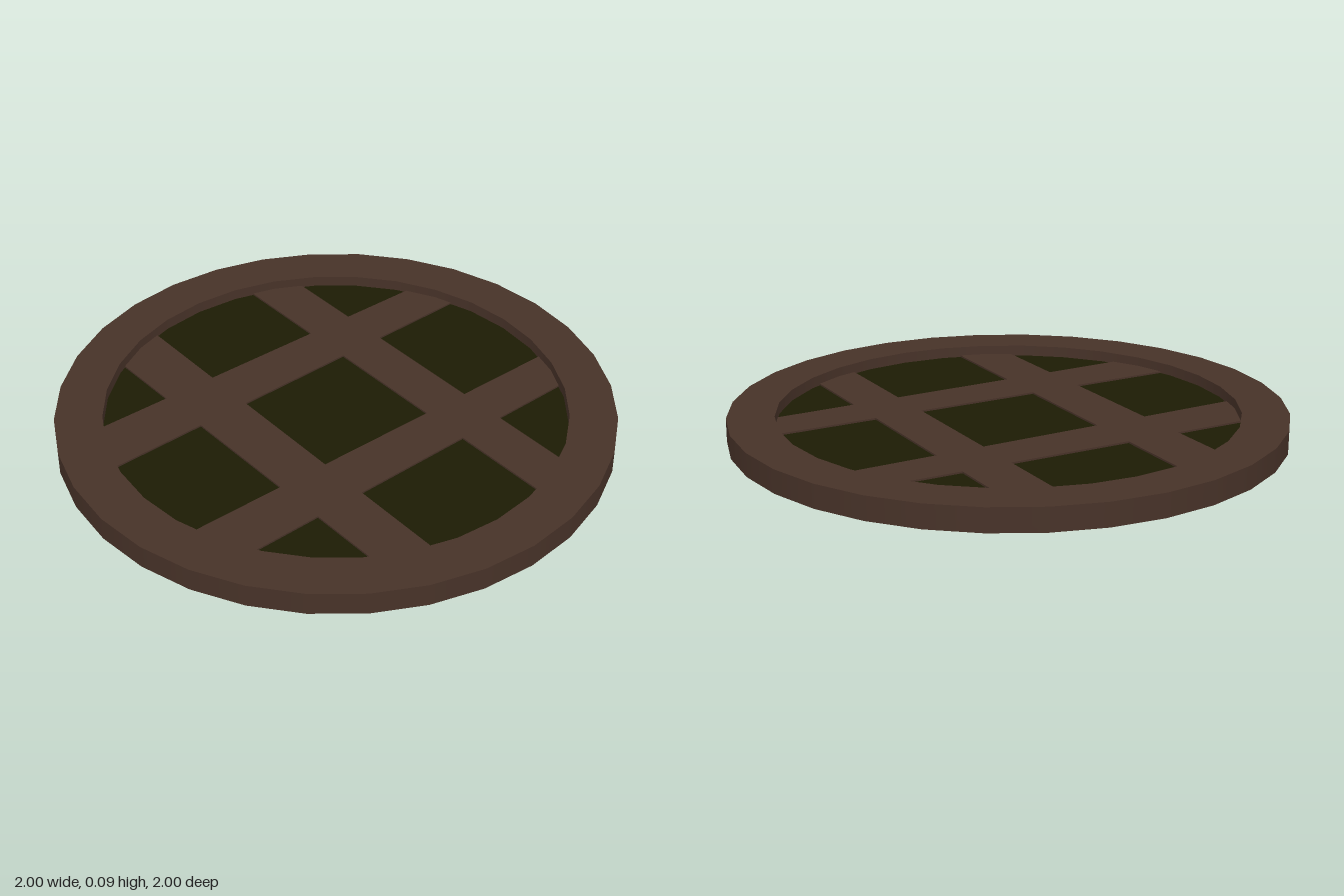
import * as THREE from 'three';

export function createModel() {
  const model = new THREE.Group();
  const wood = new THREE.MeshStandardMaterial({ color: 0x473228 });
  wood.name = 'dark brown wood';
  const moss = new THREE.MeshStandardMaterial({ color: 0x1c1b04 });
  moss.name = 'dark olive';

  const add = (name, geometry, material) => {
    const mesh = new THREE.Mesh(geometry, material);
    mesh.name = name;
    model.add(mesh);
    return mesh;
  };

  // Rim: flat top, hollowed underside rising inwards; smooth around, sharp edges
  const inner = 0.83, sides = 32;
  const corners = [[1, 0], [1, 0.085], [inner, 0.085], [inner, 0.038]];
  const faceNames = ['rimOuterWall', 'rimTop', 'rimInnerWall', 'rimUnderside'];
  corners.forEach((start, i) => {
    const end = corners[(i + 1) % 4];
    const profile = [start, end].map(([r, y]) => new THREE.Vector2(r, y));
    add(faceNames[i], new THREE.LatheGeometry(profile, sides), wood);
  });

  // Thin panel behind the lattice
  add('panel', new THREE.CylinderGeometry(inner, inner, 0.005, sides), moss)
    .position.y = 0.042;

  // Lattice bars: slightly uneven planks, outlined as [x, z] corners
  const bar = (name, outline) => {
    const shape = new THREE.Shape(outline.map(([x, z]) => new THREE.Vector2(x, -z)));
    const geometry = new THREE.ExtrudeGeometry(shape, { depth: 0.024, bevelEnabled: false });
    add(name, geometry.rotateX(-Math.PI / 2), wood).position.y = 0.027;
  };
  bar('rightBar', [[-0.422, -0.85], [-0.25, -0.85], [-0.233, 0.85], [-0.452, 0.85]]);
  bar('leftBar', [[0.228, -0.85], [0.403, -0.85], [0.415, 0.85], [0.208, 0.85]]);
  bar('backBar', [[-0.87, -0.415], [0.87, -0.422], [0.87, -0.242], [-0.87, -0.233]]);
  bar('frontBar', [[-0.87, 0.222], [0.87, 0.23], [0.87, 0.415], [-0.87, 0.432]]);

  return model;
}
